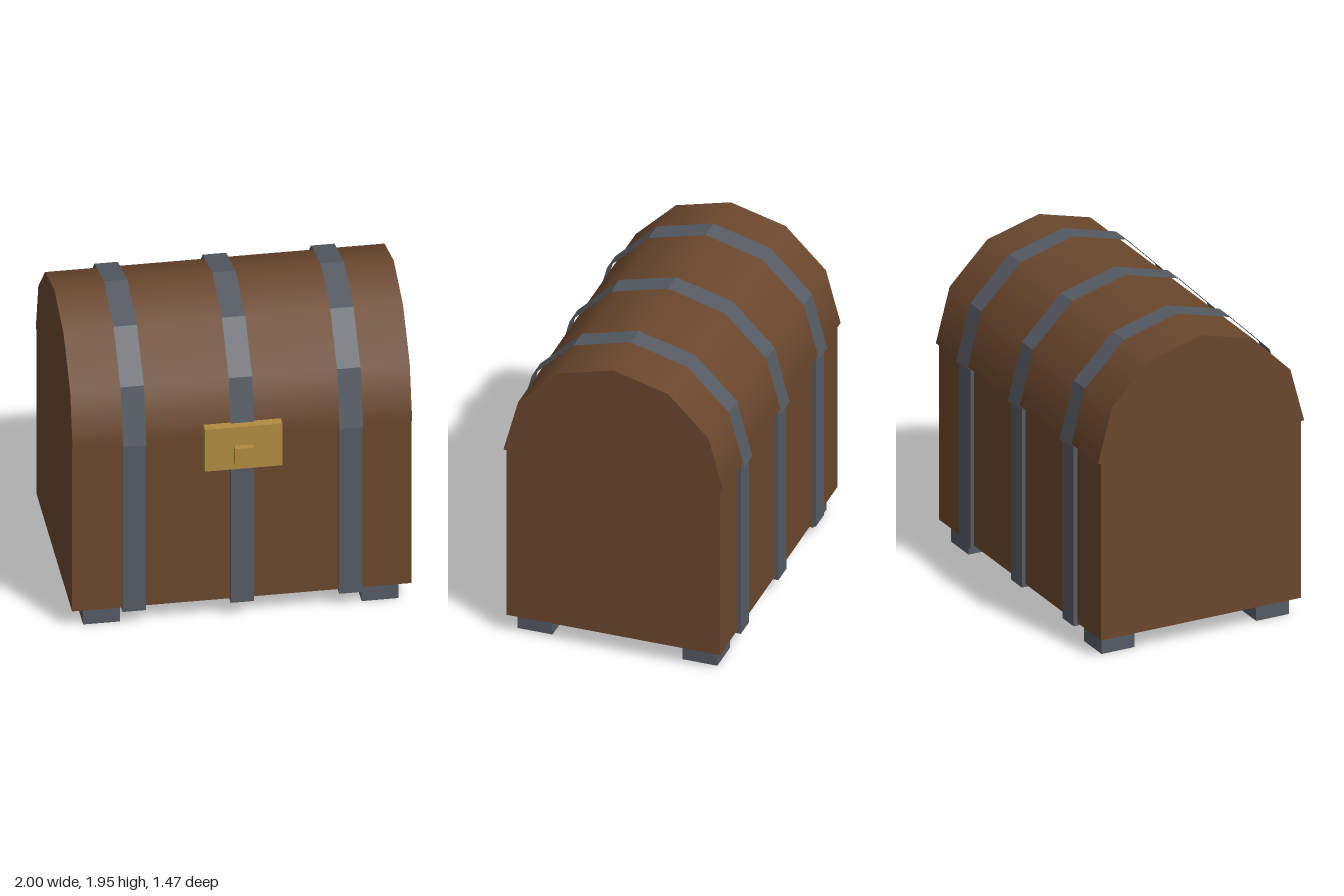
import * as THREE from 'three';

const wood = new THREE.MeshStandardMaterial({ color: 0x6b472d, side: THREE.DoubleSide });
wood.name = 'brownWood';
const iron = new THREE.MeshStandardMaterial({ color: 0x555a62, side: THREE.DoubleSide });
iron.name = 'greyIron';
const brass = new THREE.MeshStandardMaterial({ color: 0xb08c40 });
brass.name = 'brass';

const SEAM = 1.244; // height where the lid meets the body
const BOTTOM = 0.122;

export function createModel() {
  const chest = new THREE.Group();
  chest.name = 'chest';

  const add = (name, geometry, material, x, y, z) => {
    const mesh = new THREE.Mesh(geometry, material);
    mesh.name = name;
    mesh.position.set(x, y, z);
    chest.add(mesh);
  };
  // box between two heights
  const box = (name, material, w, y0, y1, d, x, z) =>
    add(name, new THREE.BoxGeometry(w, y1 - y0, d), material, x, (y0 + y1) / 2, z);
  // upper half of a six-sided arch lying along x
  const arch = (radius, width, open) =>
    new THREE.CylinderGeometry(radius, radius, width, 6, 1, open, 0, Math.PI).rotateZ(Math.PI / 2);

  const zMid = -0.028;

  // wooden body and smooth arched lid
  box('body', wood, 2, BOTTOM, SEAM, 1.32, 0, zMid);
  add('lid', arch(0.68, 2, false), wood, 0, SEAM, zMid);

  // iron straps: solid around the body, faceted thin shells over the lid
  for (const x of [-0.638, 0, 0.638]) {
    box('bodyStrap', iron, 0.138, 0.104, SEAM, 1.367, x, zMid);
    const shell = arch(0.704, 0.138, true).toNonIndexed();
    shell.computeVertexNormals();
    add('lidStrap', shell, iron, x, SEAM, zMid);
  }

  // feet
  for (const x of [-0.82, 0.82]) {
    for (const z of [-0.51, 0.51]) box('foot', iron, 0.216, 0, BOTTOM, 0.216, x, zMid + z);
  }

  // lock plate and its knob
  box('lockPlate', brass, 0.456, 1.044, 1.33, 0.058, 0, 0.67);
  box('lockKnob', brass, 0.112, 1.094, 1.204, 0.05, 0, 0.71);

  return chest;
}
